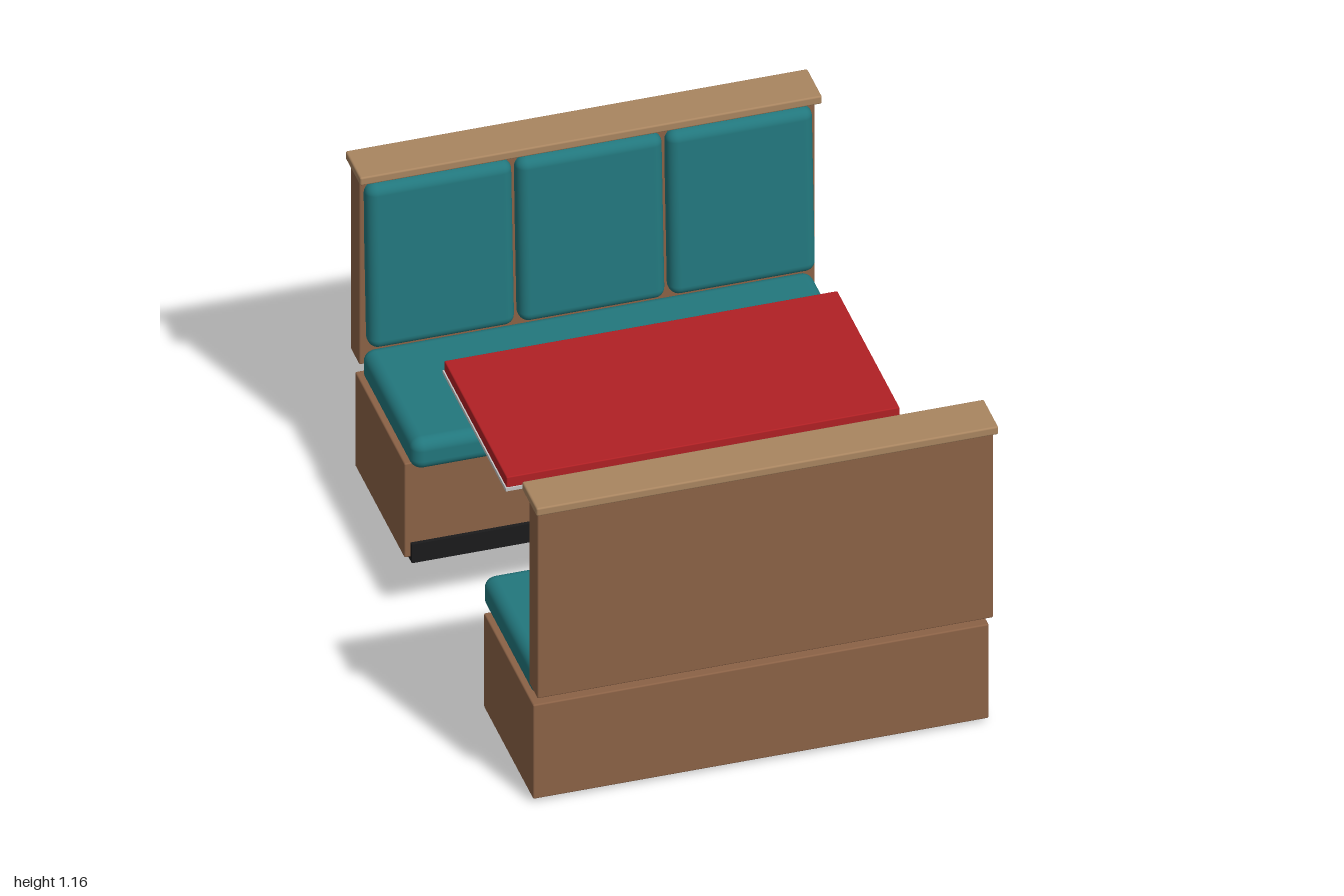
import * as THREE from 'three';
import { RoundedBoxGeometry } from 'three/addons/geometries/RoundedBoxGeometry.js';

const mat = (name, color) => {
  const m = new THREE.MeshStandardMaterial({ color });
  m.name = name;
  return m;
};

// Box given by its [min, max] extents; optional rounded edges
function block(name, material, [x0, x1], [y0, y1], [z0, z1], radius = 0, segments = 2) {
  const size = [x1 - x0, y1 - y0, z1 - z0];
  const geometry = radius
    ? new RoundedBoxGeometry(...size, segments, radius)
    : new THREE.BoxGeometry(...size);
  const mesh = new THREE.Mesh(geometry, material);
  mesh.name = name;
  mesh.position.set((x0 + x1) / 2, (y0 + y1) / 2, (z0 + z1) / 2);
  return mesh;
}

export function createModel() {
  const wood = mat('brown wood', 0x8b6246);
  const trim = mat('light wood trim', 0xa98560);
  const vinyl = mat('teal vinyl', 0x22777d);
  const red = mat('red tabletop', 0xb02024);
  const metal = mat('light metal', 0xc4c4c4);
  const black = mat('black', 0x1b1b1c);

  const model = new THREE.Group();
  model.name = 'diningBooth';

  // Bench on the +z side, facing the table
  function makeBench(name) {
    const bench = new THREE.Group();
    bench.name = name;
    bench.add(
      block('kickPlate', black, [-0.715, 0.715], [0, 0.07], [0.402, 0.86]),
      block('seatBase', wood, [-0.735, 0.735], [0.015, 0.37], [0.415, 0.932], 0.005),
      block('seatCushion', vinyl, [-0.725, 0.725], [0.367, 0.48], [0.36, 0.905], 0.038, 4),
      block('backPanel', wood, [-0.735, 0.735], [0.425, 1.15], [0.887, 0.977], 0.005),
      block('capRail', trim, [-0.745, 0.745], [1.13, 1.16], [0.845, 1], 0.006)
    );
    // Three leaning back cushions
    for (const i of [-1, 0, 1]) {
      const cushion = block('backCushion', vinyl, [-0.236, 0.236], [0.515, 1.11], [0.831, 0.906], 0.034, 4);
      cushion.position.x = i * 0.485;
      cushion.rotation.x = 0.055;
      bench.add(cushion);
    }
    return bench;
  }
  const frontBench = makeBench('frontBench');
  const backBench = makeBench('backBench');
  backBench.rotation.y = Math.PI;
  model.add(frontBench, backBench);

  // Pedestal table
  const table = new THREE.Group();
  table.name = 'table';
  const column = new THREE.Mesh(new THREE.CylinderGeometry(0.046, 0.046, 0.73, 24), black);
  column.name = 'tableColumn';
  column.position.y = 0.385;
  table.add(
    block('tableTop', red, [-0.634, 0.634], [0.76, 0.8], [-0.326, 0.326], 0.004),
    block('tableEdgeTrim', metal, [-0.638, 0.638], [0.75, 0.762], [-0.33, 0.33]),
    column,
    block('footLong', black, [-0.35, 0.35], [0, 0.03], [-0.045, 0.045]),
    block('footShort', black, [-0.045, 0.045], [0, 0.029], [-0.26, 0.26])
  );
  model.add(table);
  return model;
}
